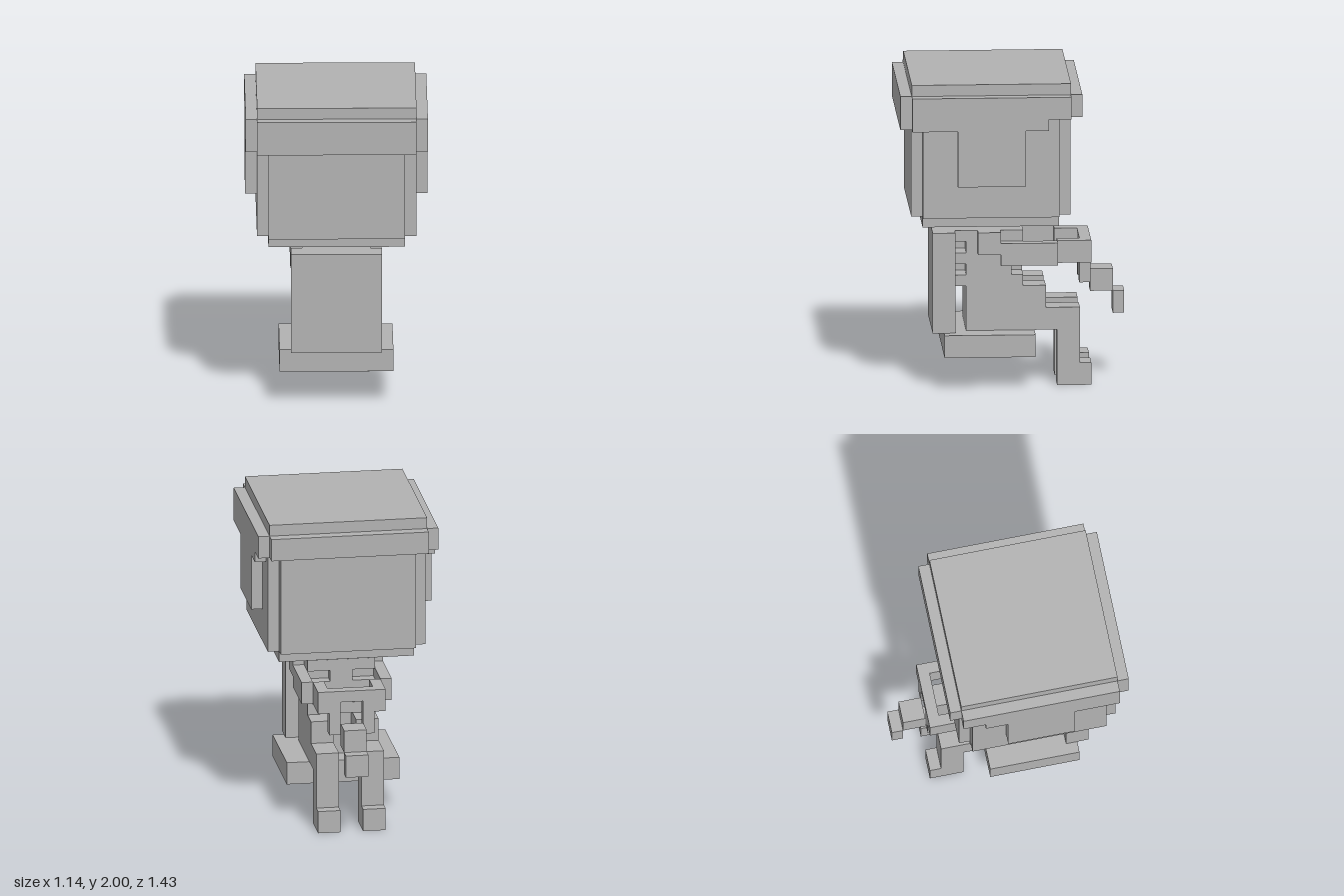
import * as THREE from 'three';

const U = 1 / 14; // one block

export function createModel() {
  const model = new THREE.Group();
  model.name = 'seatedFigure';
  const grey = new THREE.MeshStandardMaterial({ color: 0xb2b2b2 });
  grey.name = 'grey';

  const group = (name) => {
    const g = new THREE.Group();
    g.name = name;
    model.add(g);
    return g;
  };
  // Box spanning two corners, given in blocks
  const box = (parent, name, x0, x1, y0, y1, z0, z1) => {
    const geo = new THREE.BoxGeometry((x1 - x0) * U, (y1 - y0) * U, (z1 - z0) * U);
    const mesh = new THREE.Mesh(geo, grey);
    mesh.position.set((x0 + x1) * U / 2, (y0 + y1) * U / 2, (z0 + z1) * U / 2);
    mesh.name = name;
    parent.add(mesh);
  };
  // Mirrored pair of boxes
  const pair = (parent, name, x0, x1, ...rest) => {
    box(parent, name + 'Left', x0, x1, ...rest);
    box(parent, name + 'Right', -x1, -x0, ...rest);
  };

  // Chair
  const chair = group('chair');
  box(chair, 'chairSeat', -5, 5, 3, 5, -2, 6);
  box(chair, 'chairBack', -4, 4, 5, 14, 5, 7);

  // Head with notched edges
  const head = group('head');
  box(head, 'skullCore', -6, 6, 15, 27, -4, 8);
  box(head, 'skullSides', -7, 7, 16, 27, -4, 8);
  box(head, 'skullFaceAndBack', -6, 6, 16, 27, -5, 9);
  box(head, 'neck', -1, 1, 14, 15, 1, 3);

  // Hair: crown, fringe, back and side flaps
  const hair = group('hair');
  box(hair, 'crown', -7, 7, 25, 28, -5, 9);
  box(hair, 'hairBack', -7, 7, 24, 27, 8, 10);
  box(hair, 'fringe', -7, 7, 25, 27, -6, -5);
  const flap = new THREE.Shape([
    [-5, 27], [-5, 25], [-3, 25], [-3, 24], [-1, 24], [-1, 19],
    [5, 19], [5, 24], [9, 24], [9, 27],
  ].map(([z, y]) => new THREE.Vector2(-z * U, y * U)));
  for (const side of [-1, 1]) {
    const geo = new THREE.ExtrudeGeometry(flap, { depth: U, bevelEnabled: false });
    geo.rotateY(Math.PI / 2);
    const mesh = new THREE.Mesh(geo, grey);
    mesh.name = side > 0 ? 'hairFlapLeft' : 'hairFlapRight';
    mesh.position.x = (side > 0 ? 7 : -8) * U;
    hair.add(mesh);
  }

  // Torso with ribs, spine and breastbone
  const torso = group('torso');
  box(torso, 'pelvis', -3, 3, 5, 9, 0, 4);
  box(torso, 'chest', -3, 3, 9, 14, 0, 4);
  for (const y of [9, 11, 13]) box(torso, 'rib', -3, 3, y, y + 1, -1, 5);
  box(torso, 'spine', -1, 1, 9, 14, 4, 5);
  box(torso, 'breastbone', -1, 1, 9, 14, -1, 0);

  // Legs
  const legs = group('legs');
  pair(legs, 'thigh', 1, 3, 5, 9, -3, 0);
  pair(legs, 'knee', 1, 3, 5, 7, -6, -3);
  pair(legs, 'shin', 1, 3, 0, 5, -6, -4);
  pair(legs, 'foot', 1, 3, 0, 2, -7, -4);

  // Arms reaching forward
  const arms = group('arms');
  pair(arms, 'shoulder', 3, 4, 12, 14, 1, 3);
  pair(arms, 'upperArm', 3, 4, 11, 13, -4, 1);
  pair(arms, 'forearm', 2, 3, 11, 13, -7, -4);

  // Held frame with a hanging end
  const held = group('heldObject');
  box(held, 'frameBar', -2, 2, 12, 13, -7, -6);
  pair(held, 'framePost', 1, 2, 9, 12, -7, -6);
  box(held, 'frameBase', -1, 1, 8, 10, -9, -7);
  box(held, 'frameTip', -1, 1, 6, 8, -10, -9);

  return model;
}
